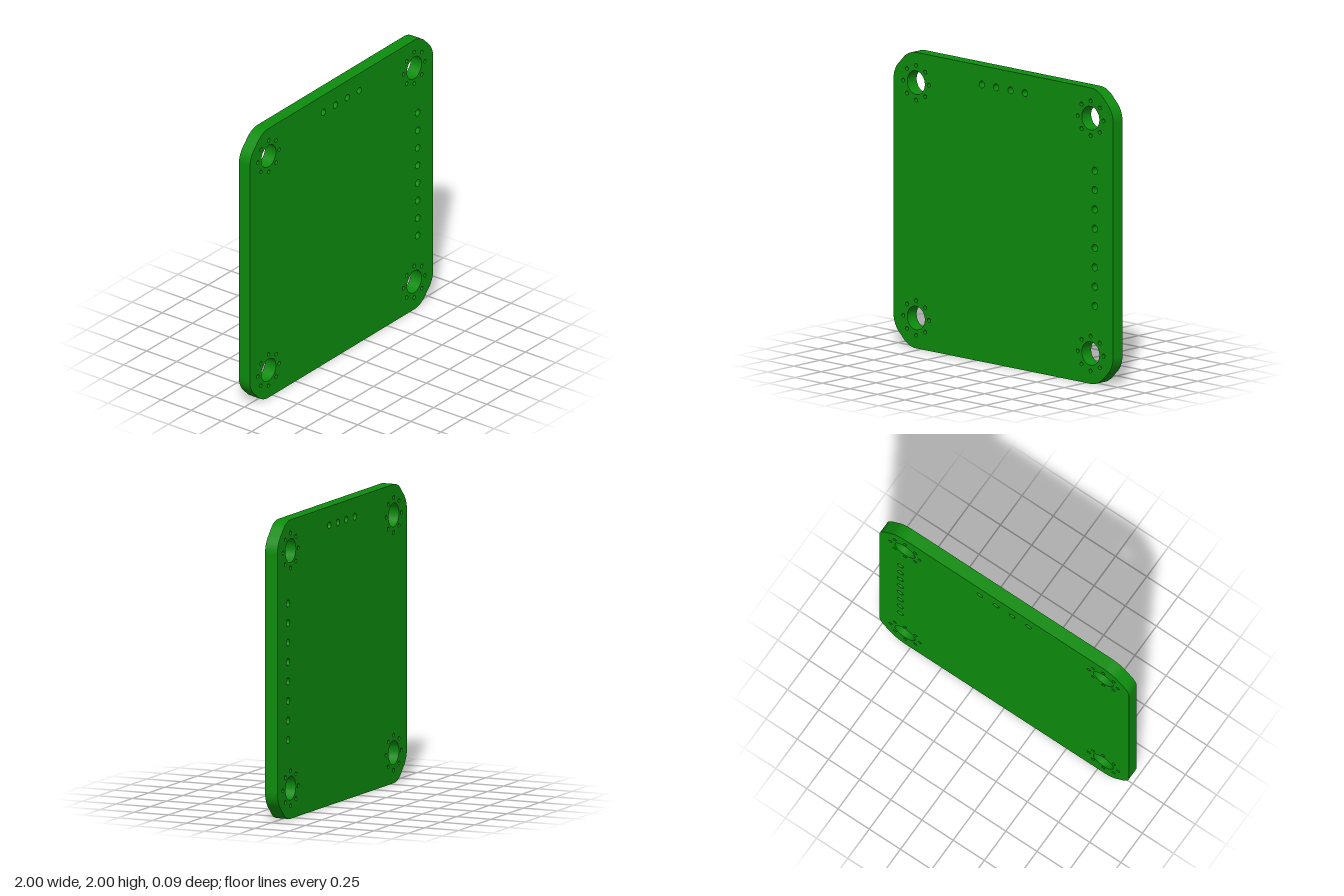
import * as THREE from 'three';

const THICKNESS = 0.09;
const CHAMFER = 0.14;              // corner cut along each edge
const BLEND = 0.065;               // tangent length of the rounding at each end of the cut
const FILLET = BLEND / Math.tan(Math.PI / 8);
const MOUNT = 0.795;               // mounting hole offset from the board centre

// Square outline with chamfered, softly rounded corners, centred on the origin
function boardOutline() {
  const shape = new THREE.Shape();
  const a = 1 - FILLET, b = 1 - CHAMFER - BLEND;
  for (let i = 0; i < 4; i++) {
    const turn = i * Math.PI / 2, c = Math.cos(turn), s = Math.sin(turn);
    const arc = (x, y, from) => shape.absarc(
      x * c - y * s, x * s + y * c, FILLET, turn + from, turn + from + Math.PI / 4, false);
    arc(a, b, 0);
    arc(b, a, Math.PI / 4);
  }
  shape.closePath();
  return shape;
}

export function createModel() {
  const group = new THREE.Group();
  const shape = boardOutline();
  const drill = (x, y, r) => {
    const hole = new THREE.Path();
    hole.absarc(x, y, r, 0, Math.PI * 2, true);
    shape.holes.push(hole);
  };

  // Mounting holes, each ringed by eight small vias
  for (const sx of [-1, 1]) for (const sy of [-1, 1]) {
    const x = sx * MOUNT, y = sy * MOUNT;
    drill(x, y, 0.08);
    for (let i = 0; i < 8; i++) {
      const t = i * Math.PI / 4;
      drill(x + 0.117 * Math.cos(t), y + 0.117 * Math.sin(t), 0.0135);
    }
  }

  // Pin rows: four along the top edge, eight down the left side
  for (let i = 0; i < 4; i++) drill(-0.196 + i * 0.1305, 0.873, 0.0235);
  for (let i = 0; i < 8; i++) drill(0.833, -0.468 + i * 0.1305, 0.0245);

  const geometry = new THREE.ExtrudeGeometry(shape, {
    depth: THICKNESS, bevelEnabled: false, curveSegments: 24,
  });
  geometry.translate(0, 1, -THICKNESS / 2);

  const board = new THREE.Mesh(geometry, new THREE.MeshStandardMaterial({ color: 0x0d8c0d }));
  board.name = 'circuitBoard';
  group.add(board);
  return group;
}
